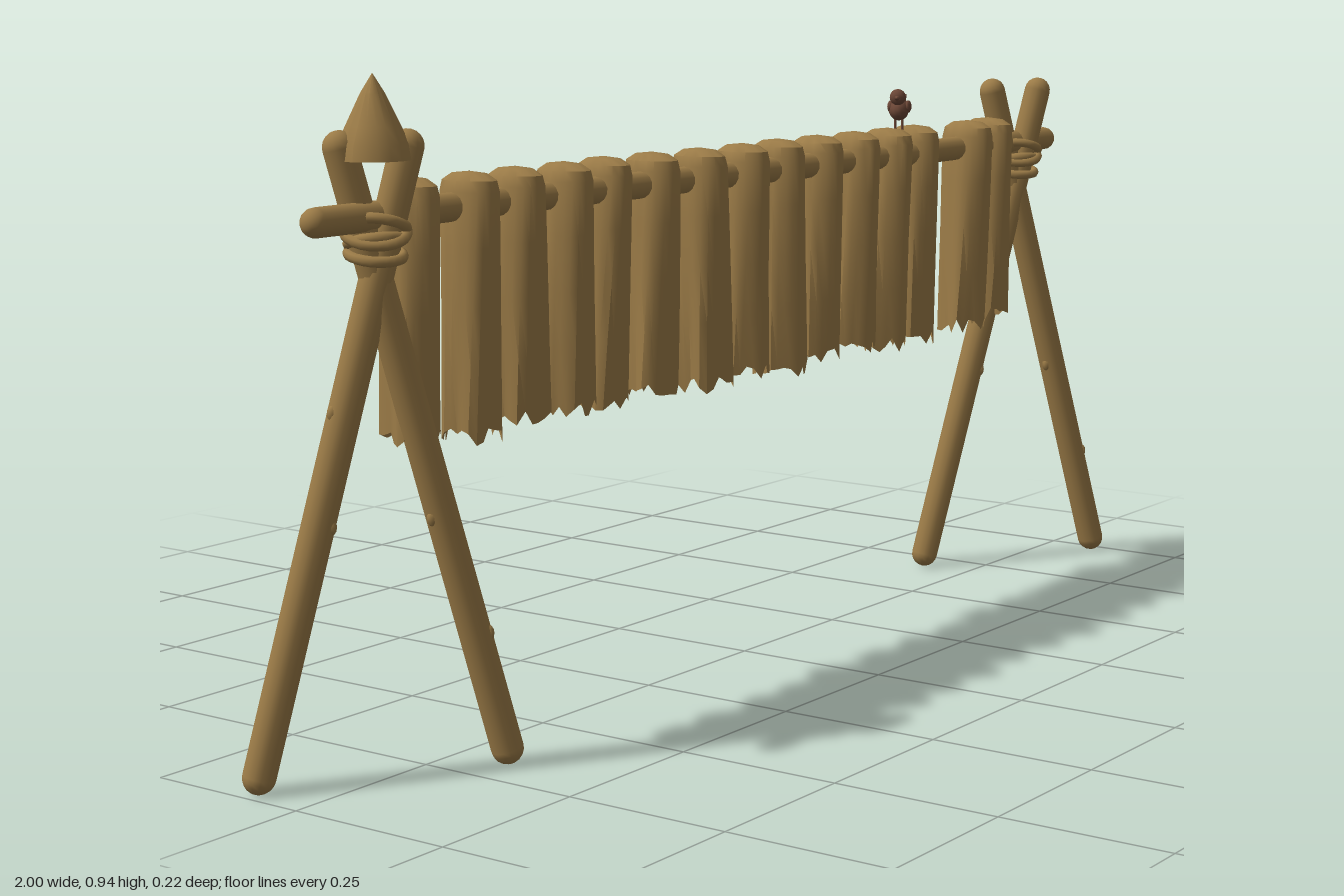
import * as THREE from 'three';
import { toCreasedNormals } from 'three/addons/utils/BufferGeometryUtils.js';

const tan = new THREE.MeshStandardMaterial({ color: 0x9b7b47, side: THREE.DoubleSide });
tan.name = 'weatheredTan';
const brown = new THREE.MeshStandardMaterial({ color: 0x6b4636, side: THREE.DoubleSide });
brown.name = 'birdBrown';

let seed = 11;
const rnd = (a, b) => {
  seed = (seed * 16807) % 2147483647;
  return a + (b - a) * seed / 2147483647;
};
const V = (x, y, z) => new THREE.Vector3(x, y, z);
const UP = V(0, 1, 0);

function add(parent, name, geo, mat, pos = V(0, 0, 0)) {
  const m = new THREE.Mesh(geo, mat);
  m.name = name;
  m.position.copy(pos);
  parent.add(m);
  return m;
}

// Round-ended pole between two points
function pole(parent, name, a, b, r, mat = tan) {
  const d = b.clone().sub(a);
  const m = add(parent, name, new THREE.CapsuleGeometry(r, d.length(), 5, 14), mat, a.clone().lerp(b, 0.5));
  m.quaternion.setFromUnitVectors(UP, d.normalize());
  return m;
}

// Two crossed poles lashed together under the rail
function trestle(cx) {
  const g = new THREE.Group();
  g.name = 'trestle';
  for (const s of [-1, 1]) {
    const foot = V(cx + s * 0.147, 0.023, s * 0.088);
    const top = V(cx - s * 0.038, 0.845, -s * 0.024);
    pole(g, 'leg', foot, top, 0.0225);
    // knots in the wood
    [0.2, 0.4, 0.58].forEach((t, i) => {
      const p = foot.clone().lerp(top, t);
      const a = i * 2.2 + s;
      p.x += Math.cos(a) * 0.018;
      p.z += Math.sin(a) * 0.018;
      add(g, 'knot', new THREE.SphereGeometry(0.008, 8, 6), tan, p).scale.y = 1.5;
    });
  }
  // rope lashing
  [[0.705, 0.15, 0.1], [0.722, -0.2, -0.12], [0.735, 0.25, 0.3], [0.742, -0.15, -0.35]].forEach(([y, tx, tz], i) => {
    const ring = add(g, 'lashing', new THREE.TorusGeometry(0.04, 0.0075, 8, 24), tan, V(cx, y, 0));
    ring.rotation.set(Math.PI / 2 + tx, tz, 0);
    ring.scale.set(i < 2 ? 0.85 : 0.95, i < 2 ? 0.95 : 1.08, 1);
  });
  return g;
}

// Hide folded over the rail: elliptical rings widening down to a ragged hem
function hide(x) {
  const N = 24;
  const rows = [[0.802, 0.02], [0.799, 0.6], [0.79, 0.92], [0.775, 1], [0.7, 1], [0.62, 1], [0.54, 1], [0.45, 1]];
  const w = rnd(0.045, 0.053), skew = rnd(-0.016, 0.014), zo = rnd(-0.008, 0.008);
  const phase = rnd(0, 6), hem = rnd(-0.008, 0.012), twist = rnd(-0.25, 0.25);
  const pos = [], idx = [];
  rows.forEach(([y, s], r) => {
    const t = Math.max(0, (0.79 - y) / 0.34);
    for (let i = 0; i < N; i++) {
      const a = i / N * Math.PI * 2;
      const fold = 1 + t * 0.1 * Math.sin(a * 5 + phase) - t * 0.14 * Math.abs(Math.cos(a)) ** 6;
      const hx = (0.029 + (w - 0.029) * t ** 0.75) * s * fold;
      const hz = (0.047 - 0.01 * t) * s * fold;
      const c = Math.cos(a + twist * t), n = Math.sin(a + twist * t);
      const jag = r === rows.length - 1 ? hem + rnd(-0.014, 0.012) : 0;
      pos.push(x + c * hx + skew * t, y + jag, zo + n * hz);
    }
  });
  for (let r = 0; r < rows.length - 1; r++) {
    for (let i = 0; i < N; i++) {
      const a = r * N + i, b = r * N + (i + 1) % N;
      idx.push(a, b, a + N, b, b + N, a + N);
    }
  }
  const geo = new THREE.BufferGeometry();
  geo.setAttribute('position', new THREE.Float32BufferAttribute(pos, 3));
  geo.setIndex(idx);
  return toCreasedNormals(geo, 0.6);
}

// Small bird facing -x with a raised tail
function bird() {
  const g = new THREE.Group();
  g.name = 'bird';
  const body = add(g, 'body', new THREE.SphereGeometry(0.02, 14, 10), brown, V(0.003, 0, 0));
  body.scale.set(1.3, 0.9, 0.85);
  body.rotation.z = 0.2;
  add(g, 'head', new THREE.SphereGeometry(0.0135, 12, 8), brown, V(-0.017, 0.021, 0));
  const beak = add(g, 'beak', new THREE.ConeGeometry(0.005, 0.014, 8), brown, V(-0.034, 0.02, 0));
  beak.rotation.z = Math.PI / 2;
  const tail = add(g, 'tail', new THREE.BoxGeometry(0.034, 0.006, 0.014), brown, V(0.034, 0.012, 0));
  tail.rotation.z = 0.5;
  for (const s of [-1, 1]) {
    const wing = add(g, 'wing', new THREE.SphereGeometry(0.015, 10, 8), brown, V(0.008, 0.004, s * 0.014));
    wing.scale.set(1.3, 0.7, 0.4);
    pole(g, 'birdLeg', V(0, -0.055, s * 0.006), V(0.001, -0.01, s * 0.006), 0.002, brown);
  }
  return g;
}

export function createModel() {
  const model = new THREE.Group();
  model.name = 'dryingRack';
  model.add(trestle(-0.83), trestle(0.83));

  // rail resting in the two forks
  pole(model, 'rail', V(-0.94, 0.755, 0), V(0.935, 0.755, 0), 0.02);

  // row of hanging hides
  const xs = [-0.76, -0.65, -0.55, -0.447, -0.34, -0.233, -0.126, -0.013,
    0.099, 0.206, 0.313, 0.414, 0.505, 0.66, 0.75];
  xs.forEach(x => add(model, 'hide', hide(x), tan));

  // pointed cap perched on one trestle
  const profile = [[0.034, 0.838], [0.05, 0.828], [0.047, 0.848], [0.036, 0.872], [0.016, 0.914], [0, 0.94]];
  const cap = new THREE.LatheGeometry(profile.map(p => new THREE.Vector2(...p)), 18);
  add(model, 'pointedCap', toCreasedNormals(cap, 0.6), tan, V(-0.83, 0, 0));

  const b = bird();
  b.position.set(0.444, 0.831, 0);
  b.rotation.y = 0.45;
  model.add(b);
  return model;
}
